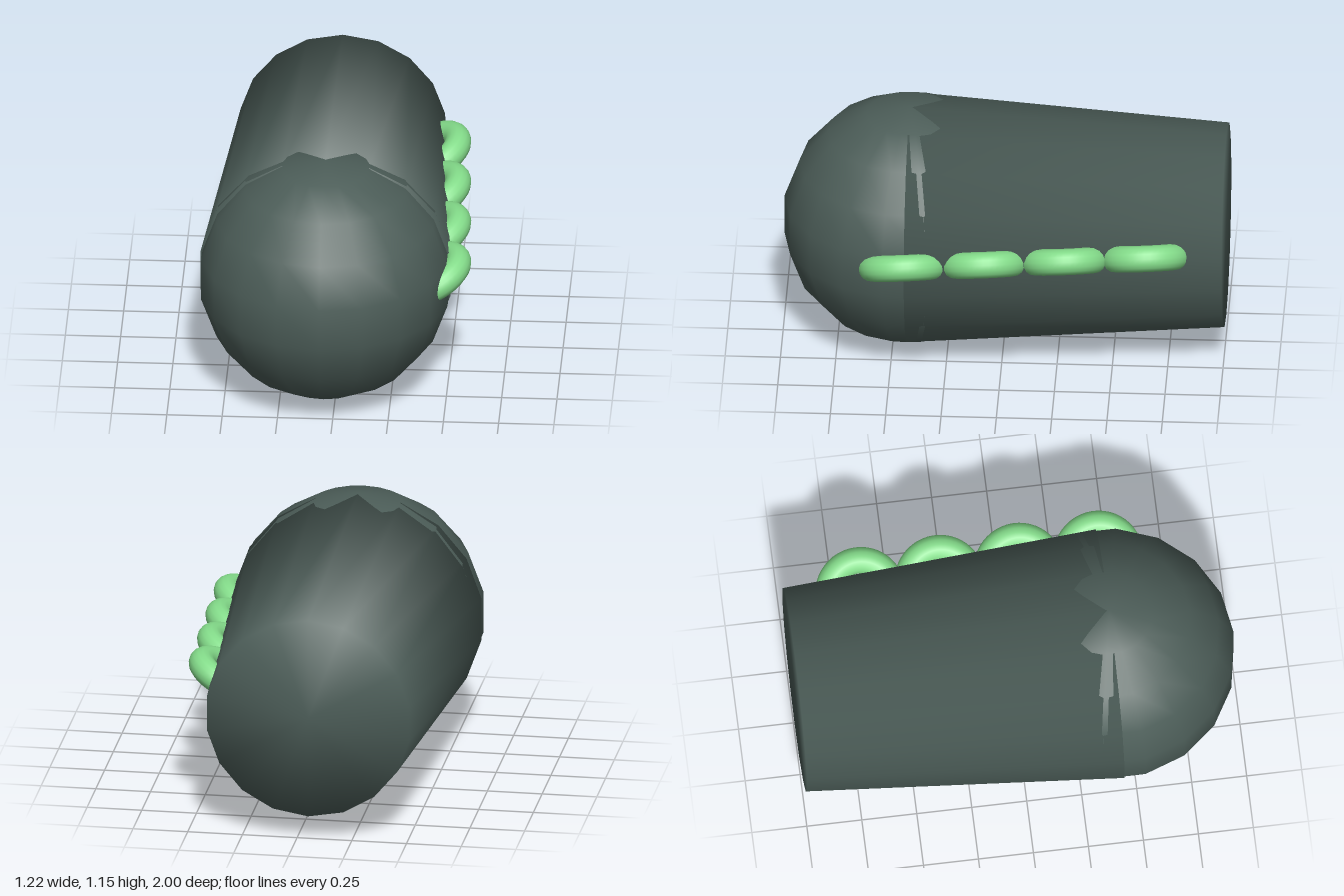
import * as THREE from 'three';

const CX = -0.05, CY = 0.575, JOIN_Z = 0.43, BACK_Z = -1;

const bodyMaterial = new THREE.MeshStandardMaterial({ color: 0x4c5d58 });
bodyMaterial.name = 'dark slate';
const ridgeMaterial = new THREE.MeshStandardMaterial({ color: 0x84dc8a });
ridgeMaterial.name = 'light green';

// Tapered tube along z whose normals run smoothly over the rim onto the end faces
function taperedTube() {
  const length = JOIN_Z - BACK_Z;
  const geometry = new THREE.CylinderGeometry(0.469, 0.573, length, 18, 1);
  geometry.rotateX(-Math.PI / 2);
  const { position, normal } = geometry.attributes;
  const n = new THREE.Vector3();
  for (let i = 0; i < position.count; i++) {
    const x = position.getX(i), y = position.getY(i);
    const r = Math.hypot(x, y);
    const end = Math.sign(position.getZ(i));
    if (r < 0.01) n.set(0, 0, end);
    else n.set(x / r, y / r, end * 0.9).normalize();
    normal.setXYZ(i, n.x, n.y, n.z);
  }
  return geometry;
}

export function createModel() {
  const model = new THREE.Group();
  model.name = 'capsule';

  // Rounded front
  const nose = new THREE.Mesh(new THREE.SphereGeometry(0.574, 18, 9).rotateY(Math.PI / 2), bodyMaterial);
  nose.name = 'roundedFront';
  nose.position.set(CX, CY, JOIN_Z);
  model.add(nose);

  // Tapering body
  const body = new THREE.Mesh(taperedTube(), bodyMaterial);
  body.name = 'taperedBody';
  body.position.set(CX, CY, (JOIN_Z + BACK_Z) / 2);
  model.add(body);

  // Row of four half rings on the left flank, leaning outwards and upwards
  const ridges = new THREE.Group();
  ridges.name = 'sideRidges';
  const ring = new THREE.TorusGeometry(0.145, 0.06, 16, 24, Math.PI);
  const along = new THREE.Vector3(-0.02, 0.015, -0.363).normalize();
  const out = new THREE.Vector3(0.89, 0.455, 0);
  out.addScaledVector(along, -out.dot(along)).normalize();
  const basis = new THREE.Matrix4().makeBasis(along, out, along.clone().cross(out));
  for (let i = 0; i < 4; i++) {
    const ridge = new THREE.Mesh(ring, ridgeMaterial);
    ridge.name = `ridge${i + 1}`;
    ridge.quaternion.setFromRotationMatrix(basis);
    ridge.position.set(0.42 - 0.02 * i, 0.585 + 0.015 * i, 0.437 - 0.363 * i);
    ridges.add(ridge);
  }
  model.add(ridges);

  return model;
}
